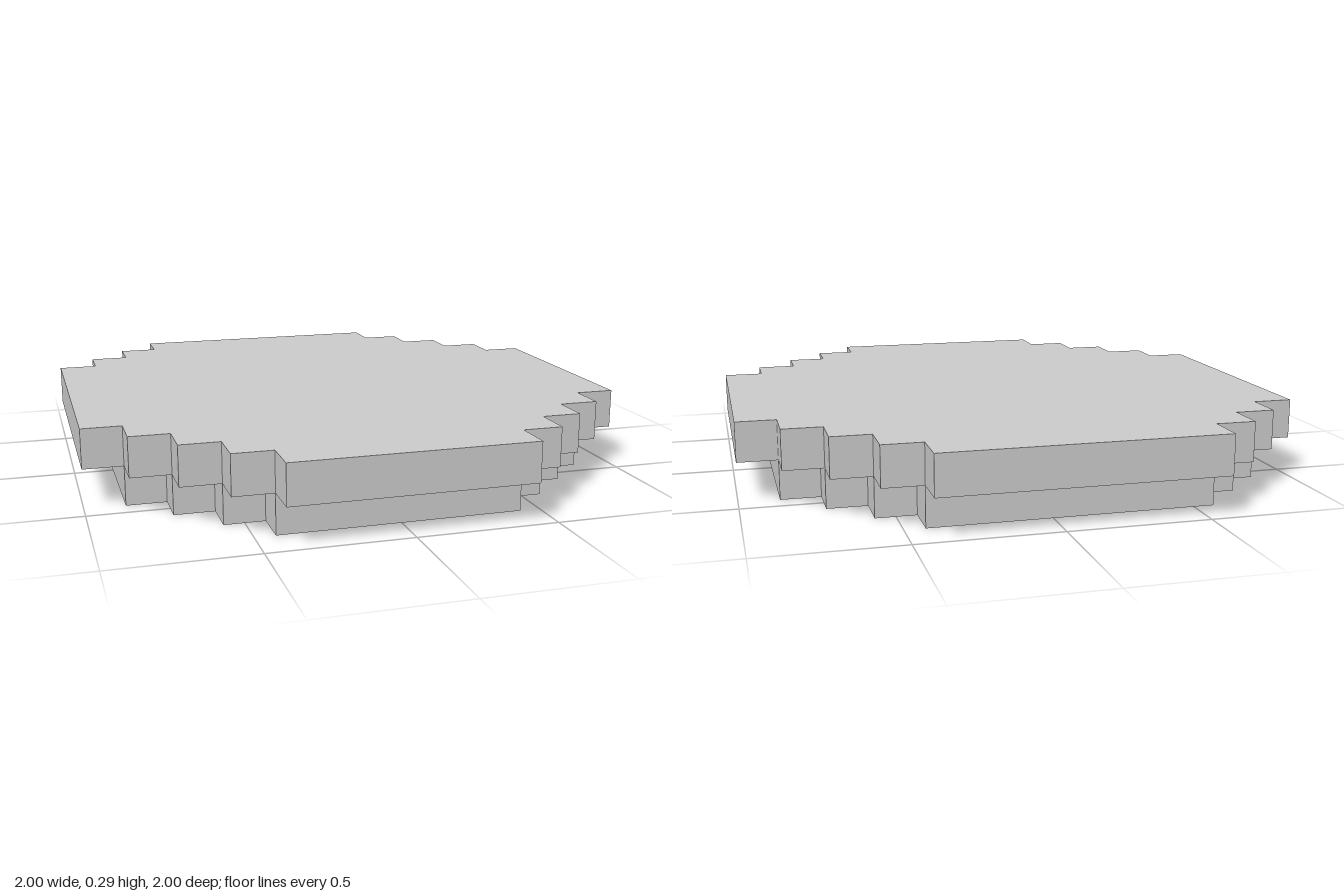
import * as THREE from 'three';

const CELL = 1 / 7; // size of one block step

// Stepped disc of half-width `half` cells; steps[k] is the stair count of each
// corner, in order: back +x, back -x, front -x, front +x.
function steppedSlab(name, half, steps, level) {
  const points = [];
  steps.forEach((n, k) => {
    const add = (x, y) => {
      for (let turn = 0; turn < k; turn++) [x, y] = [-y, x];
      points.push(new THREE.Vector2(x * CELL, y * CELL));
    };
    for (let i = 0; i <= n; i++) {
      add(half - i, half - n + i); // outer corner
      if (i < n) add(half - i - 1, half - n + i); // inner corner
    }
  });
  const geometry = new THREE.ExtrudeGeometry(new THREE.Shape(points), { depth: CELL, bevelEnabled: false });
  geometry.rotateX(-Math.PI / 2);
  geometry.translate(0, level * CELL, 0);
  const mesh = new THREE.Mesh(geometry, new THREE.MeshStandardMaterial({ color: 0xcccccc, flatShading: true }));
  mesh.name = name;
  return mesh;
}

export function createModel() {
  const model = new THREE.Group();
  model.name = 'steppedDisc';
  // Base sits one cell inside the top; the back -x corner has one stair fewer
  model.add(steppedSlab('baseLayer', 6, [3, 2, 3, 3], 0));
  model.add(steppedSlab('topLayer', 7, [4, 3, 4, 4], 1));
  return model;
}
